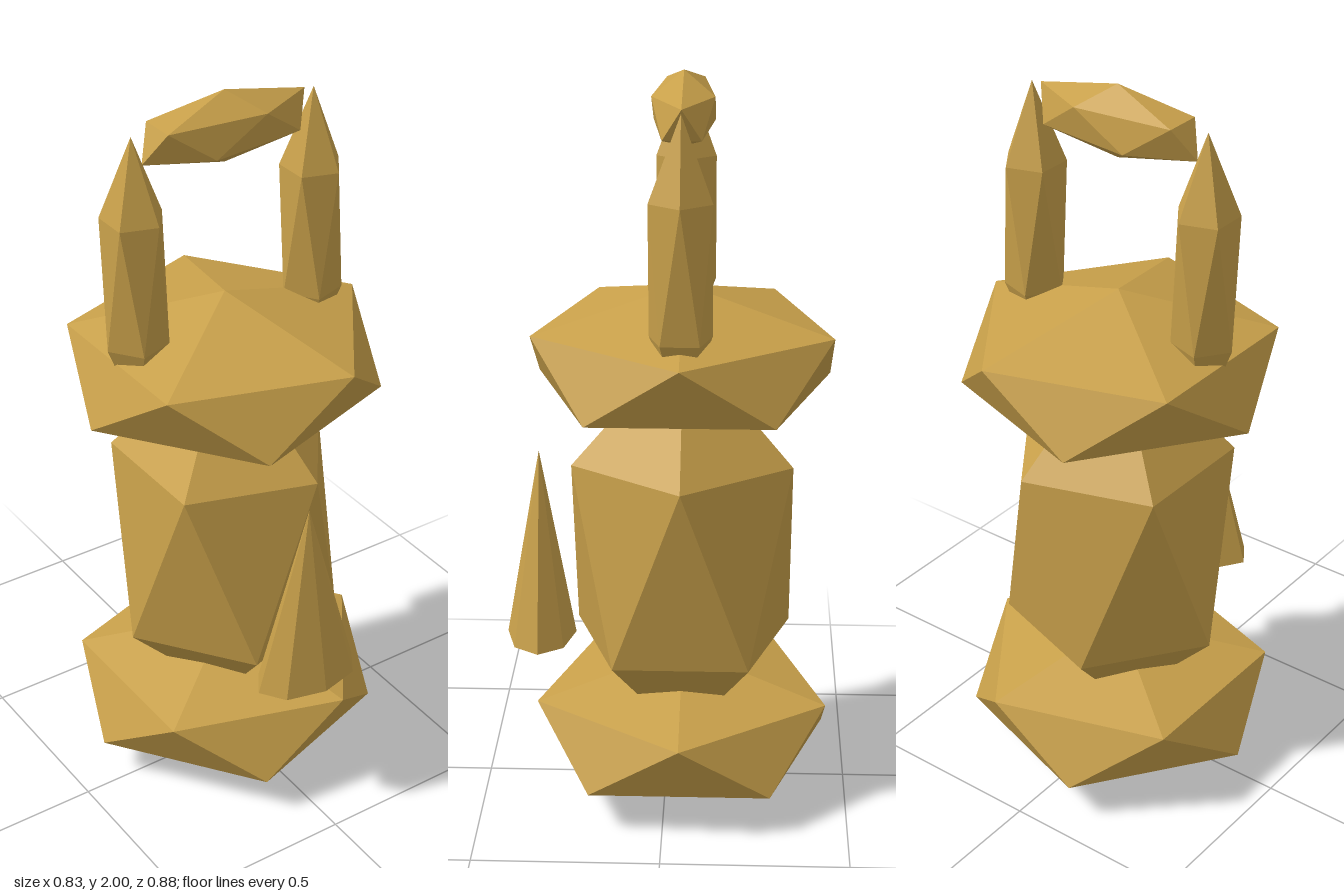
import * as THREE from 'three';

const gold = new THREE.MeshStandardMaterial({ color: 0xc8a04a, flatShading: true });
gold.name = 'gold';

const AXIS_Z = -0.045;
const RING = 2 / Math.sqrt(5); // ring radius of a unit icosahedron standing on a vertex

// Stretched icosahedron standing on a vertex; rx and rz are its ring radii, h its half height
function gem(name, x, y, rx, h, rz = rx) {
  const geo = new THREE.IcosahedronGeometry(1, 0);
  geo.rotateZ(-Math.atan(2 / (1 + Math.sqrt(5))));
  geo.scale(rx / RING, h, rz / RING);
  const mesh = new THREE.Mesh(geo, gold);
  mesh.name = name;
  mesh.position.set(x, y, AXIS_Z);
  return mesh;
}

export function createModel() {
  const model = new THREE.Group();
  model.name = 'ornament';

  // Base, body and upper slab stacked on one axis
  model.add(gem('base', 0, 0.195, 0.415, 0.195));
  model.add(gem('body', 0, 0.702, 0.31, 0.587));
  model.add(gem('upperSlab', 0, 1.245, 0.415, 0.195));

  // Two posts and the bar over them
  model.add(gem('leftPost', 0.272, 1.55, 0.085, 0.395));
  model.add(gem('rightPost', -0.272, 1.55, 0.085, 0.395));
  model.add(gem('topBar', 0, 1.905, 0.243, 0.0975, 0.085));

  // Flattened spike at the front
  const spikeGeo = new THREE.ConeGeometry(1, 0.535, 8);
  spikeGeo.scale(0.155, 1, 0.095);
  const spike = new THREE.Mesh(spikeGeo, gold);
  spike.name = 'frontSpike';
  spike.position.set(0, 0.7025, 0.345);
  model.add(spike);

  return model;
}
